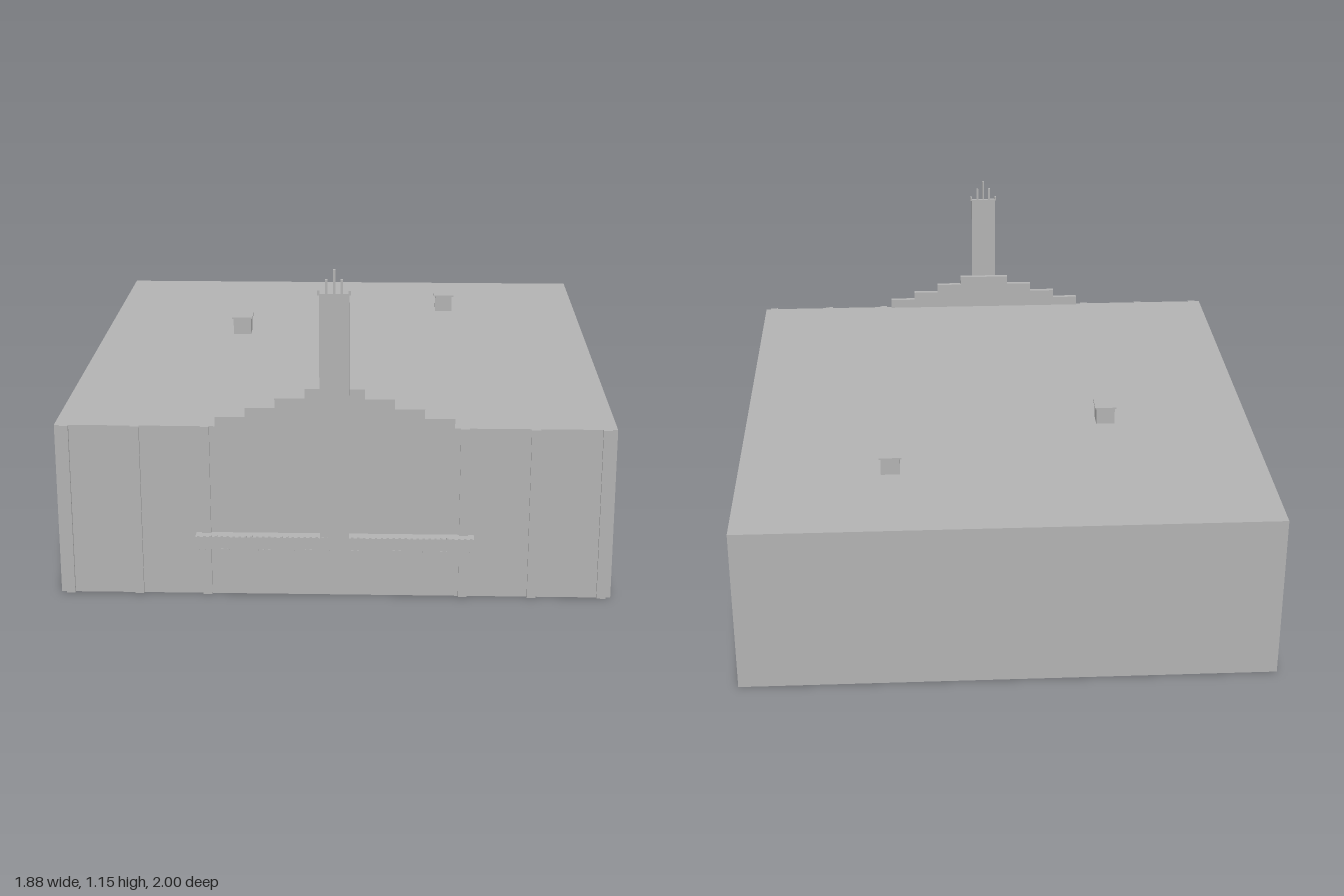
import * as THREE from 'three';

export function createModel() {
  const root = new THREE.Group();
  root.name = 'cinemaBuilding';
  const grey = new THREE.MeshStandardMaterial({ color: 0xb2b2b2, side: THREE.DoubleSide });
  grey.name = 'plain grey';

  const H = 0.605, WALL = 0.955;

  // Box given by its limits on each axis
  function block(name, x0, x1, y0, y1, z0, z1, parent = root) {
    const mesh = new THREE.Mesh(new THREE.BoxGeometry(x1 - x0, y1 - y0, z1 - z0), grey);
    mesh.position.set((x0 + x1) / 2, (y0 + y1) / 2, (z0 + z1) / 2);
    mesh.name = name;
    parent.add(mesh);
    return mesh;
  }
  function group(name) {
    const g = new THREE.Group();
    g.name = name;
    root.add(g);
    return g;
  }

  // Main hall: thin shell, open underneath (bottom face removed)
  const hall = block('hallShell', -0.94, 0.94, 0, H, -1, WALL);
  const idx = Array.from(hall.geometry.index.array);
  idx.splice(18, 6);
  hall.geometry.setIndex(idx);
  hall.geometry.clearGroups();

  // Front pilasters
  const pilasters = group('pilasters');
  for (const side of [-1, 1]) {
    for (const x of [0.435, 0.67, 0.907]) {
      block('pilaster', side * x - 0.015, side * x + 0.015, 0, H, WALL, 0.965, pilasters);
    }
  }

  // Stepped parapet above the entrance
  const profile = new THREE.Shape();
  const steps = [[0.4, 0.641], [0.3, 0.673], [0.2, 0.707], [0.1, 0.741]];
  profile.moveTo(-0.4, H);
  let last = H;
  for (const [x, y] of steps) {
    profile.lineTo(-x, last);
    profile.lineTo(-x, y);
    last = y;
  }
  for (const [x, y] of [...steps].reverse()) {
    profile.lineTo(x, last = y);
    const next = steps[steps.findIndex((s) => s[0] === x) - 1];
    profile.lineTo(x, next ? next[1] : H);
  }
  const parapet = new THREE.Mesh(
    new THREE.ExtrudeGeometry(profile, { depth: 0.018, bevelEnabled: false }), grey);
  parapet.position.z = 0.945;
  parapet.name = 'steppedParapet';
  root.add(parapet);

  // Entrance canopy with rows of small bulbs on both edges
  block('canopy', -0.47, 0.47, 0.181, 0.225, WALL, 0.999);
  const bulbs = group('canopyBulbs');
  for (let i = 0; i < 47; i++) {
    const x = -0.46 + i * 0.02;
    for (const y of [0.178, 0.224]) {
      block('bulb', x - 0.004, x + 0.004, y, y + 0.005, 0.992, 1, bulbs);
    }
  }

  // Sign tower with graded spires
  block('signTower', -0.049, 0.049, 0.225, 1.075, 0.986, 0.999);
  const spires = group('towerSpires');
  [[-0.051, 1.086], [-0.025, 1.122], [0, 1.155], [0.025, 1.122], [0.051, 1.086]].forEach(([x, top]) => {
    block('spire', x - 0.004, x + 0.004, 1.07, top, 0.988, 0.998, spires);
  });

  // Roof vents with overhanging caps
  for (const [x, z] of [[-0.402, -0.197], [0.4, -0.565]]) {
    const vent = group('roofVent');
    block('ventBody', x - 0.034, x + 0.034, H, 0.667, z - 0.034, z + 0.034, vent);
    block('ventCap', x - 0.04, x + 0.04, 0.667, 0.673, z - 0.04, z + 0.04, vent);
  }
  return root;
}
